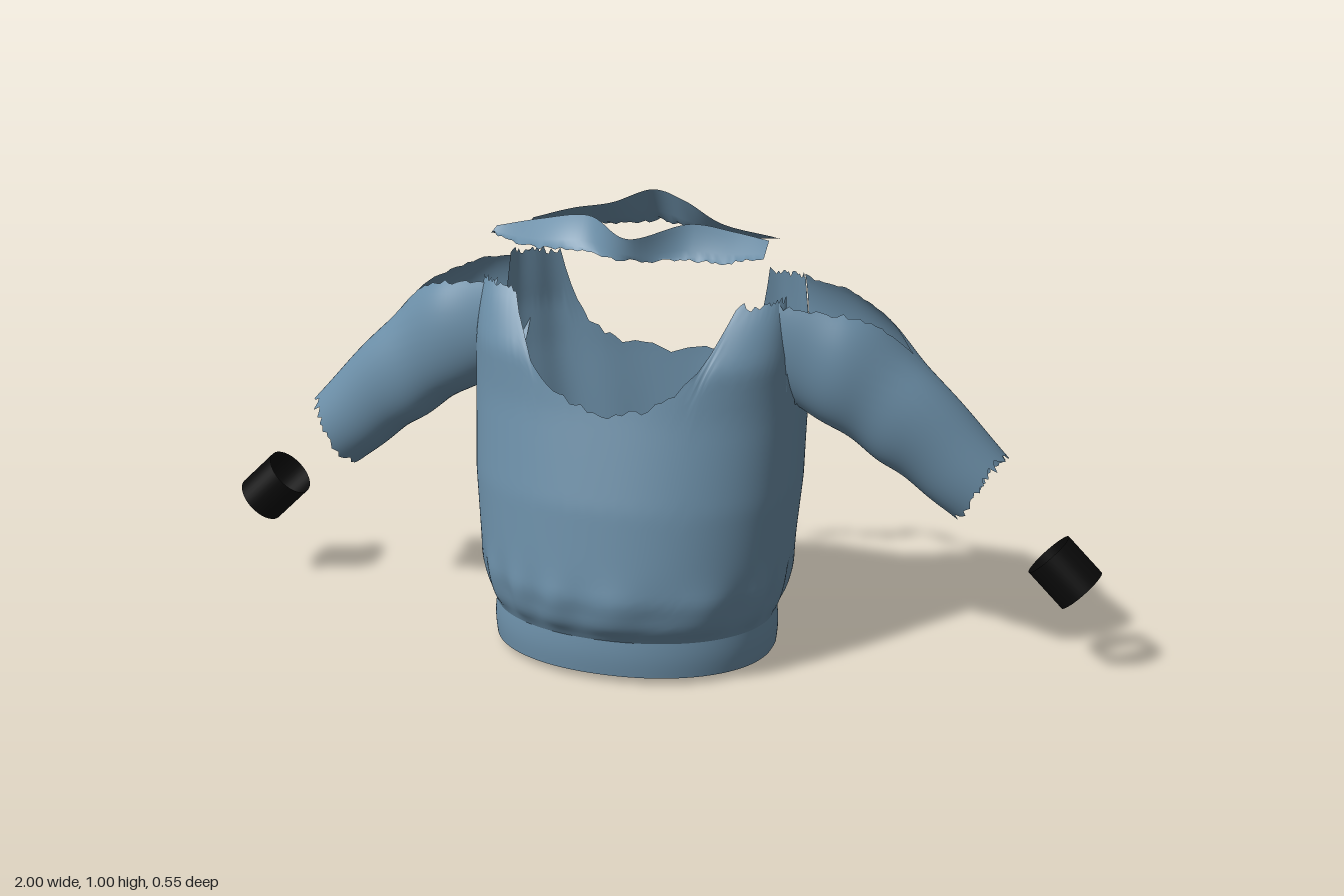
import * as THREE from 'three';

const fabric = new THREE.MeshStandardMaterial({ color: 0x6c8fa8, side: THREE.DoubleSide });
fabric.name = 'dusty blue fabric';
const black = new THREE.MeshStandardMaterial({ color: 0x0a0a0a, side: THREE.DoubleSide });
black.name = 'black rib';

// Piecewise linear lookup through [key, value] pairs
function table(pairs) {
  return (k) => {
    if (k <= pairs[0][0]) return pairs[0][1];
    for (let i = 1; i < pairs.length; i++) {
      const [a, va] = pairs[i - 1], [b, vb] = pairs[i];
      if (k <= b) return va + (vb - va) * (k - a) / (b - a);
    }
    return pairs[pairs.length - 1][1];
  };
}

// Smooth lookup: blends neighbouring samples of a table
const soft = (pairs, r = 0.03) => {
  const f = table(pairs);
  return (k) => (f(k - r) + 2 * f(k) + f(k + r)) / 4;
};

// Repeatable ragged value in 0..1 for torn edges
const ragged = (i) => {
  const s = Math.sin(i * 12.9898) * 43758.5453;
  return s - Math.floor(s);
};

// Surface from a rule: point(column, row); columns may wrap around
function sheet(name, cols, rows, point, closed) {
  const pos = [], idx = [];
  const across = closed ? cols : cols + 1;
  for (let j = 0; j <= rows; j++)
    for (let i = 0; i < across; i++) pos.push(...point(i, j));
  for (let j = 0; j < rows; j++)
    for (let i = 0; i < cols; i++) {
      const n = (i + 1) % across;
      const a = j * across + i, b = j * across + n, c = a + across, d = b + across;
      idx.push(a, c, b, b, c, d);
    }
  const geo = new THREE.BufferGeometry();
  geo.setAttribute('position', new THREE.Float32BufferAttribute(pos, 3));
  geo.setIndex(idx);
  geo.computeVertexNormals();
  const mesh = new THREE.Mesh(geo, fabric);
  mesh.name = name;
  return mesh;
}

// Torso cross-section by height: half width, front, back, centre, squareness
const width = soft([[0.1, 0.31], [0.14, 0.328], [0.2, 0.342], [0.4, 0.36], [0.6, 0.364], [0.7, 0.36], [0.84, 0.345]], 0.015);
const front = soft([[0.1, 0.235], [0.135, 0.262], [0.2, 0.276], [0.4, 0.247], [0.6, 0.197], [0.7, 0.175], [0.8, 0.1], [0.84, 0.065]], 0.015);
const back = soft([[0.1, 0.25], [0.135, 0.265], [0.2, 0.27], [0.4, 0.27], [0.6, 0.263], [0.7, 0.255], [0.84, 0.218]], 0.015);
const middle = soft([[0.1, 0], [0.4, -0.02], [0.6, -0.03], [0.7, -0.04], [0.84, -0.07]]);
const squareFront = soft([[0.1, 2.1], [0.6, 2.2], [0.7, 2.6], [0.8, 3.7], [0.84, 4.2]]);
const squareBack = soft([[0.1, 2.3], [0.5, 2.8], [0.84, 3.8]]);

function bodyPoint(angle, y) {
  const c = Math.cos(angle), s = Math.sin(angle);
  const p = 2 / (s > 0 ? squareFront(y) : squareBack(y));
  const gather = Math.exp(-(((y - 0.17) / 0.06) ** 2)) * Math.min(1, (y - 0.1) / 0.03);
  const drape = s < 0 ? s * s * Math.min(1, Math.max(0, (y - 0.12) / 0.2)) : 0;
  const k = 1 + 0.016 * gather * Math.sin(15 * angle + 2 * Math.sin(3 * angle)) + 0.024 * drape * (Math.sin(11 * angle) - 0.5);
  const mid = middle(y);
  const reach = s > 0 ? front(y) - mid : back(y) + mid;
  return [
    -0.012 + k * width(y) * Math.sign(c) * Math.abs(c) ** p,
    y,
    mid + k * reach * Math.sign(s) * Math.abs(s) ** p,
  ];
}

// Torn neckline and armholes: height of the top edge round the torso
const neckline = table([[0, 0.6], [0.28, 0.615], [0.42, 0.65], [0.5, 0.69], [0.54, 0.75], [0.58, 0.822], [1, 0.832]]);
function topEdge(angle, i) {
  const s = Math.abs(Math.sin(angle)), u = Math.abs(Math.cos(angle)) ** 0.77;
  if (s < 0.18) return 0.6;
  if (s < 0.31) return 0.69;
  return neckline(u) + 0.018 * (ragged(i) - 0.5);
}

// Sleeve rings: lower point, upper point (x, y), z centre, z radius
const rings = [
  [0.325, 0.59, 0.31, 0.885, -0.08, 0.13],
  [0.46, 0.51, 0.46, 0.82, -0.078, 0.112],
  [0.57, 0.43, 0.605, 0.682, -0.086, 0.088],
  [0.69, 0.335, 0.79, 0.48, -0.105, 0.073],
];
function sleeve(side) {
  const curve = (a, b, c) => new THREE.CatmullRomCurve3(rings.map((r) => new THREE.Vector3(r[a], r[b], r[c])));
  const low = curve(0, 1, 4), high = curve(2, 3, 5);
  const cols = 64, rows = 40;
  return sheet(side > 0 ? 'leftSleeve' : 'rightSleeve', cols, rows, (i, j) => {
    const t = (j / rows) * (1 - 0.035 * ragged((i % cols) + 5));
    const A = low.getPoint(t), B = high.getPoint(t);
    // torn wedge along the shoulder, closing part way down the arm
    const edge = (i === 0 || i === cols) && t < 0.5 ? 0.1 * (ragged(j + i) - 0.5) : 0;
    const gap = Math.max(0, 0.95 * (1 - (t / 0.6) ** 1.4) + edge);
    const a = gap + (i / cols) * (2 * Math.PI - 2 * gap);
    const fold = 1 + 0.025 * Math.sin(t * 17 + 2 * a) * Math.sin(Math.PI * t);
    const h = 0.5 + 0.5 * Math.cos(a) * fold;
    // boxy at the shoulder, round at the wrist
    const s = Math.sign(Math.sin(a)) * Math.abs(Math.sin(a)) ** (0.65 + 0.35 * t);
    const drop = side < 0 ? 0.025 * t : 0;
    return [
      side * (A.x + (B.x - A.x) * h + drop * 0.8),
      A.y + (B.y - A.y) * h - drop,
      A.z + B.z * s * fold,
    ];
  }, false);
}

// Collar remnant: strip between an outer and an inner edge
function collarPiece(name, outer, inner) {
  const line = (pts) => new THREE.CatmullRomCurve3(pts.map((p) => new THREE.Vector3(...p)));
  const o = line(outer), n = line(inner), cols = 60, rows = 6;
  return sheet(name, cols, rows, (i, j) => {
    const v = j / rows, p = o.getPoint(i / cols).lerp(n.getPoint(i / cols), v);
    const torn = j === 0 ? 0.01 * ragged(i) : 0;
    return [p.x, p.y + torn, p.z];
  }, false);
}

export function createModel() {
  const model = new THREE.Group();
  model.name = 'sweatshirt';

  // Torso and hem band
  const cols = 192, rows = 48;
  const angleOf = (i) => (i / cols) * Math.PI * 2;
  model.add(sheet('torso', cols, rows, (i, j) => {
    const a = angleOf(i), t = (j / rows) ** 1.25;
    return bodyPoint(a, 0.1 + (topEdge(a, i) - 0.1) * t);
  }, true));
  model.add(sheet('hemBand', cols, 6, (i, j) => {
    const p = bodyPoint(angleOf(i), 0.1);
    const bottom = p[2] > -0.02 ? 0.02 : 0.02 + 0.07 * (p[2] + 0.02);
    const puff = 1 + 0.012 * Math.sin(Math.PI * j / 6);
    return [p[0] * puff, bottom + (0.106 - bottom) * (j / 6), p[2] * puff];
  }, true));

  // Sleeves and loose cuffs
  for (const side of [1, -1]) {
    model.add(sleeve(side));
    const cuff = new THREE.Mesh(new THREE.CylinderGeometry(0.058, 0.058, 0.106, 40, 1, true), black);
    cuff.name = side > 0 ? 'leftCuff' : 'rightCuff';
    cuff.position.set(side * 0.921, side > 0 ? 0.234 : 0.224, -0.115);
    cuff.rotation.z = side * Math.PI / 4;
    model.add(cuff);
  }

  // Collar remnants
  model.add(collarPiece('frontCollar',
    [[-0.34, 0.915, 0], [-0.24, 0.9, 0.035], [-0.12, 0.9, 0.035], [0, 0.9, 0.072], [0.11, 0.9, 0.04], [0.2, 0.9, 0.025], [0.27, 0.91, 0]],
    [[-0.33, 0.93, -0.015], [-0.24, 0.945, -0.045], [-0.12, 0.972, -0.01], [0, 0.957, 0.088], [0.11, 0.975, 0], [0.2, 0.955, -0.035], [0.27, 0.94, -0.045]]));
  model.add(collarPiece('backCollar',
    [[-0.28, 0.92, -0.09], [-0.21, 0.905, -0.15], [-0.1, 0.905, -0.175], [-0.02, 0.91, -0.208], [0.06, 0.905, -0.175], [0.16, 0.9, -0.16], [0.27, 0.915, -0.145]],
    [[-0.27, 0.935, -0.08], [-0.19, 0.955, -0.11], [-0.1, 0.975, -0.11], [-0.02, 1, -0.15], [0.06, 0.99, -0.12], [0.16, 0.96, -0.07], [0.27, 0.94, -0.075]]));

  return model;
}
